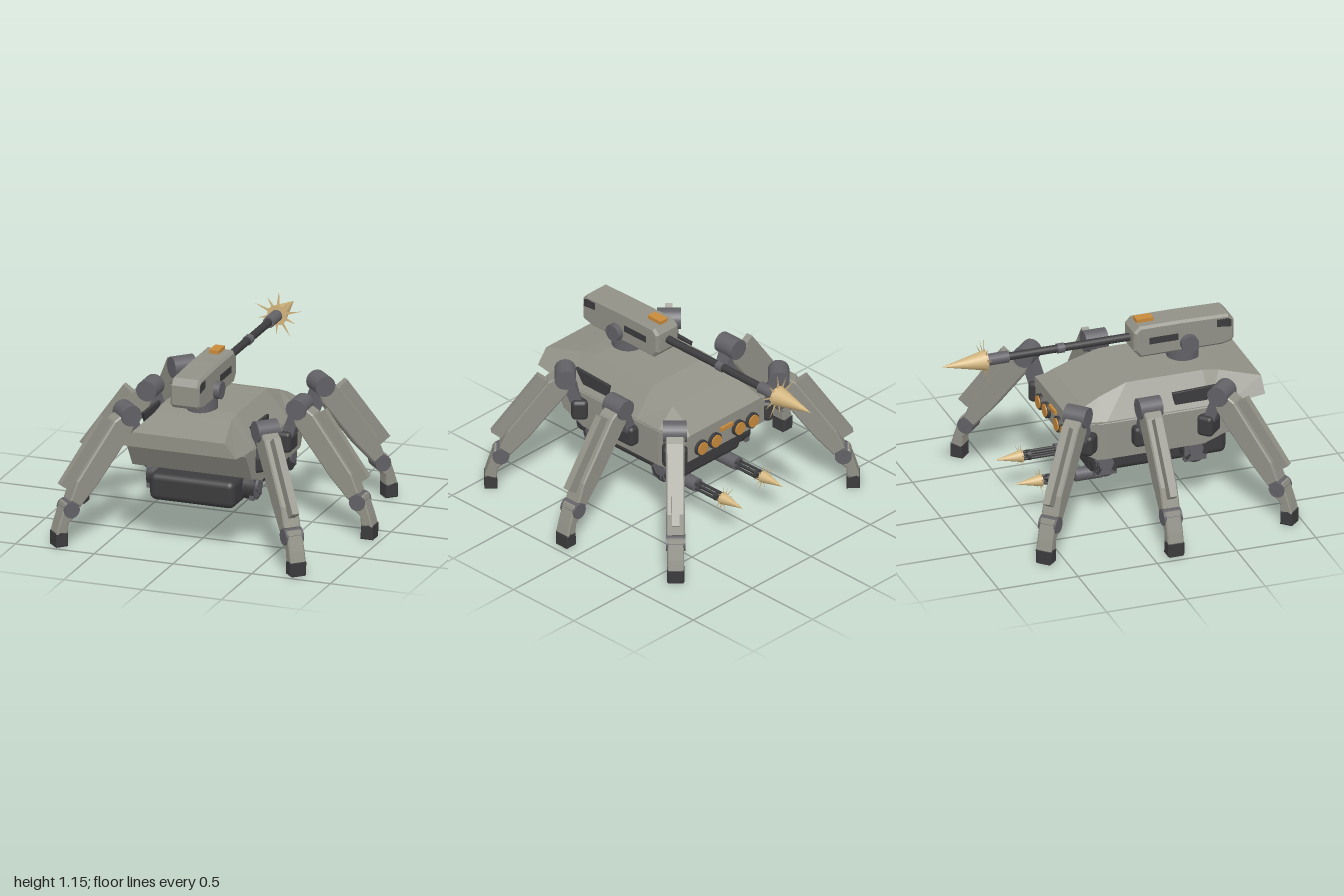
import * as THREE from 'three';
import { RoundedBoxGeometry } from 'three/addons/geometries/RoundedBoxGeometry.js';

const flat = (name, color, extra = {}) => Object.assign(new THREE.MeshStandardMaterial({ color, ...extra }), { name });

export function createModel() {
  const root = new THREE.Group();
  root.name = 'walker';
  const armour = flat('armour grey', 0x929187, { flatShading: true });
  const steel = flat('joint grey', 0x626267);
  const dark = flat('dark metal', 0x3c3c3e);
  const orange = flat('orange lamp', 0xc88a3c);
  const flash = flat('flash tan', 0xd2b57e, { side: THREE.DoubleSide });

  const add = (parent, name, geo, mat, x = 0, y = 0, z = 0) => {
    const m = new THREE.Mesh(geo, mat);
    m.name = name;
    m.position.set(x, y, z);
    parent.add(m);
    return m;
  };
  const box = (w, h, d) => new THREE.BoxGeometry(w, h, d);
  const cylX = (r, l) => new THREE.CylinderGeometry(r, r, l, 24).rotateZ(Math.PI / 2);
  const cylZ = (r, l) => new THREE.CylinderGeometry(r, r, l, 20).rotateX(Math.PI / 2);
  // Side outline extruded to a width centred on the outline plane
  const slab = (pts, width, bevel = 0.008) => {
    const shape = new THREE.Shape(pts.map(p => new THREE.Vector2(...p)));
    return new THREE.ExtrudeGeometry(shape, {
      depth: width - 2 * bevel, bevelThickness: bevel, bevelSize: bevel, bevelOffset: -bevel, bevelSegments: 1,
    }).translate(0, 0, bevel - width / 2);
  };
  // Mirrored cross-sections joined from front to back: [z, [halfWidth, y] bottom to top]
  const loft = sections => {
    const rings = sections.map(([z, ...half]) => [
      ...half.map(([w, y]) => [w, y, z]),
      ...half.slice().reverse().map(([w, y]) => [-w, y, z]),
    ]);
    const v = [];
    const n = rings[0].length, last = rings[rings.length - 1];
    for (let k = 0; k + 1 < rings.length; k++) {
      const a = rings[k], b = rings[k + 1];
      for (let i = 0; i < n; i++) {
        const j = (i + 1) % n;
        v.push(...a[i], ...b[i], ...b[j], ...a[i], ...b[j], ...a[j]);
      }
    }
    for (let i = 1; i + 1 < n; i++) {
      v.push(...rings[0][0], ...rings[0][i], ...rings[0][i + 1]);
      v.push(...last[0], ...last[i + 1], ...last[i]);
    }
    const g = new THREE.BufferGeometry();
    g.setAttribute('position', new THREE.Float32BufferAttribute(v, 3));
    g.computeVertexNormals();
    return g;
  };

  // Hull
  add(root, 'upperHull', loft([
    [0.91, [0.365, 0.67], [0.295, 0.76]],
    [0.66, [0.385, 0.65], [0.24, 0.815]],
    [0.56, [0.385, 0.65], [0.24, 0.83]],
    [0.08, [0.385, 0.65], [0.24, 0.83]],
    [-0.1, [0.383, 0.65], [0.255, 0.77]],
    [-0.2, [0.36, 0.65], [0.27, 0.725]],
    [-0.29, [0.335, 0.64], [0.30, 0.665]],
  ]), armour);
  add(root, 'lowerHull', loft([
    [0.785, [0.38, 0.645], [0.38, 0.66]],
    [0.68, [0.38, 0.475], [0.38, 0.66]],
    [0.52, [0.38, 0.415], [0.38, 0.66]],
    [-0.1, [0.38, 0.415], [0.38, 0.66]],
    [-0.15, [0.37, 0.415], [0.37, 0.66]],
    [-0.29, [0.335, 0.49], [0.335, 0.66]],
  ]), armour);
  add(root, 'bellyTank', new RoundedBoxGeometry(0.54, 0.17, 0.865, 3, 0.04), dark, 0, 0.355, 0.272);
  for (const s of [-1, 1]) {
    add(root, 'sideVent', slab([[0.33, 0.765], [0.35, 0.67], [0.54, 0.675], [0.61, 0.775]], 0.02, 0.002)
      .rotateY(-Math.PI / 2), dark, s * 0.345, 0, 0);
    for (const z of [0.48, -0.085]) {
      add(root, 'bellyRoller', cylX(0.08, 0.07), dark, s * 0.305, 0.36, z);
      add(root, 'rollerCap', cylX(0.045, 0.02), steel, s * 0.345, 0.37, z);
      add(root, 'rollerGuard', box(0.03, 0.13, 0.14), steel, s * 0.325, 0.355, z);
    }
    // Rear lamps
    for (const x of [0.1, 0.215]) {
      add(root, 'lampRing', cylZ(0.05, 0.025), dark, s * x, 0.55, -0.297);
      add(root, 'lamp', cylZ(0.04, 0.03), orange, s * x, 0.55, -0.303);
    }
  }
  add(root, 'rearLightBar', box(0.1, 0.025, 0.02), orange, 0, 0.6, -0.295);

  // Pointed flash with a flat ring of spikes, aimed at -z
  const addFlash = (parent, x, y, z, r, len, spike) => {
    add(parent, 'flashCone', new THREE.ConeGeometry(r, len, 16).rotateX(-Math.PI / 2), flash, x, y, z - len / 2);
    const star = new THREE.Shape();
    const count = 10;
    for (let i = 0; i < count * 2; i++) {
      const a = i * Math.PI / count + 0.25;
      const d = i % 2 ? r * 0.6 : spike * (i % 4 ? 0.8 : 1);
      star[i ? 'lineTo' : 'moveTo'](d * Math.cos(a), d * Math.sin(a));
    }
    add(parent, 'flashSpikes', new THREE.ShapeGeometry(star), flash, x, y, z - 0.01);
  };

  // Turret
  const turret = new THREE.Group();
  turret.name = 'turret';
  root.add(turret);
  add(turret, 'turretBase', new THREE.CylinderGeometry(0.097, 0.097, 0.1, 28), steel, 0, 0.86, 0.52);
  add(turret, 'turretHead', slab([
    [0.185, 0.94], [0.225, 0.895], [0.74, 0.895], [0.8, 0.91], [0.815, 0.93],
    [0.815, 1.05], [0.78, 1.09], [0.48, 1.097], [0.22, 1.097], [0.185, 1.06],
  ], 0.184, 0.015).rotateY(-Math.PI / 2), armour);
  for (const s of [-1, 1]) {
    add(turret, 'trunnion', cylX(0.054, 0.05), steel, s * 0.105, 0.95, 0.525);
    add(turret, 'sideSlot', box(0.008, 0.042, 0.18), dark, s * 0.091, 0.998, 0.37);
    add(turret, 'frontWindow', slab([[0.705, 1.02], [0.795, 1.01], [0.795, 1.055], [0.775, 1.067], [0.705, 1.067]],
      0.008, 0.001).rotateY(-Math.PI / 2), dark, s * 0.091);
  }
  add(turret, 'roofBeacon', box(0.06, 0.03, 0.105), orange, 0, 1.105, 0.273);
  add(turret, 'barrel', cylZ(0.024, 0.8), dark, 0, 1, -0.2);
  add(turret, 'barrelCollar', cylZ(0.03, 0.045), steel, 0, 1, -0.25);
  add(turret, 'muzzle', cylZ(0.036, 0.135), steel, 0, 1, -0.648);
  addFlash(turret, 0, 1, -0.72, 0.063, 0.28, 0.155);

  // Twin belly guns
  for (const s of [-1, 1]) {
    const gun = new THREE.Group();
    gun.name = 'bellyGun';
    gun.position.set(s * 0.17, 0.235, 0);
    root.add(gun);
    add(gun, 'gunHousing', cylZ(0.042, 0.17), steel, 0, 0, -0.14);
    add(gun, 'gunMount', box(0.04, 0.08, 0.08), steel, 0, 0.05, -0.11);
    for (let i = 0; i < 4; i++) {
      const a = Math.PI / 4 + i * Math.PI / 2;
      add(gun, 'gunBarrel', cylZ(0.009, 0.22), dark, 0.022 * Math.cos(a), 0.022 * Math.sin(a), -0.325);
    }
    add(gun, 'barrelClamp', cylZ(0.032, 0.02), dark, 0, 0, -0.39);
    addFlash(gun, 0, 0, -0.43, 0.038, 0.17, 0.095);
  }

  // Legs: local +x points outward from the shoulder
  const thigh = slab([[0.03, -0.055], [0.08, -0.07], [0.45, -0.06], [0.62, -0.04],
    [0.62, 0.04], [0.5, 0.07], [0.08, 0.07], [0.03, 0.05]], 0.11);
  const shin = slab([[0.345, 0.19], [0.345, 0.25], [0.37, 0.268], [0.42, 0.268],
    [0.46, 0.15], [0.48, 0.08], [0.405, 0.08], [0.4, 0.14]], 0.1);
  const foot = slab([[0.402, 0], [0.48, 0], [0.482, 0.085], [0.46, 0.1], [0.405, 0.085]], 0.104);
  const makeLeg = (x, z, angle) => {
    const leg = new THREE.Group();
    leg.name = 'leg';
    leg.position.set(x, 0, z);
    leg.rotation.y = angle;
    root.add(leg);
    add(leg, 'shoulderJoint', cylZ(0.064, 0.14), steel, 0, 0.765, 0);
    add(leg, 'hipStrut', box(0.07, 0.24, 0.09), steel, -0.045, 0.65, 0).rotation.z = -0.35;
    add(leg, 'hipBlock', new RoundedBoxGeometry(0.1, 0.13, 0.15, 2, 0.025), dark, -0.085, 0.55, 0);
    add(leg, 'hipAxle', cylX(0.045, 0.1), steel, -0.1, 0.55, 0);
    const upper = new THREE.Group();
    upper.name = 'upperLeg';
    upper.position.y = 0.765;
    upper.rotation.z = Math.atan2(-0.54, 0.382);
    leg.add(upper);
    add(upper, 'thigh', thigh, armour);
    add(upper, 'thighRail', box(0.48, 0.075, 0.045), armour, 0.33, 0.1, 0);
    add(leg, 'ankleJoint', cylZ(0.05, 0.115), steel, 0.382, 0.225, 0);
    add(leg, 'shin', shin, armour);
    add(leg, 'foot', foot, dark);
  };
  for (const s of [-1, 1]) {
    const turn = a => (s > 0 ? a : Math.PI - a);
    makeLeg(s * 0.44, 0.61, turn(-Math.PI / 4));
    makeLeg(s * 0.475, 0.137, turn(0));
    makeLeg(s * 0.44, -0.3, turn(Math.PI / 4));
  }
  return root;
}
